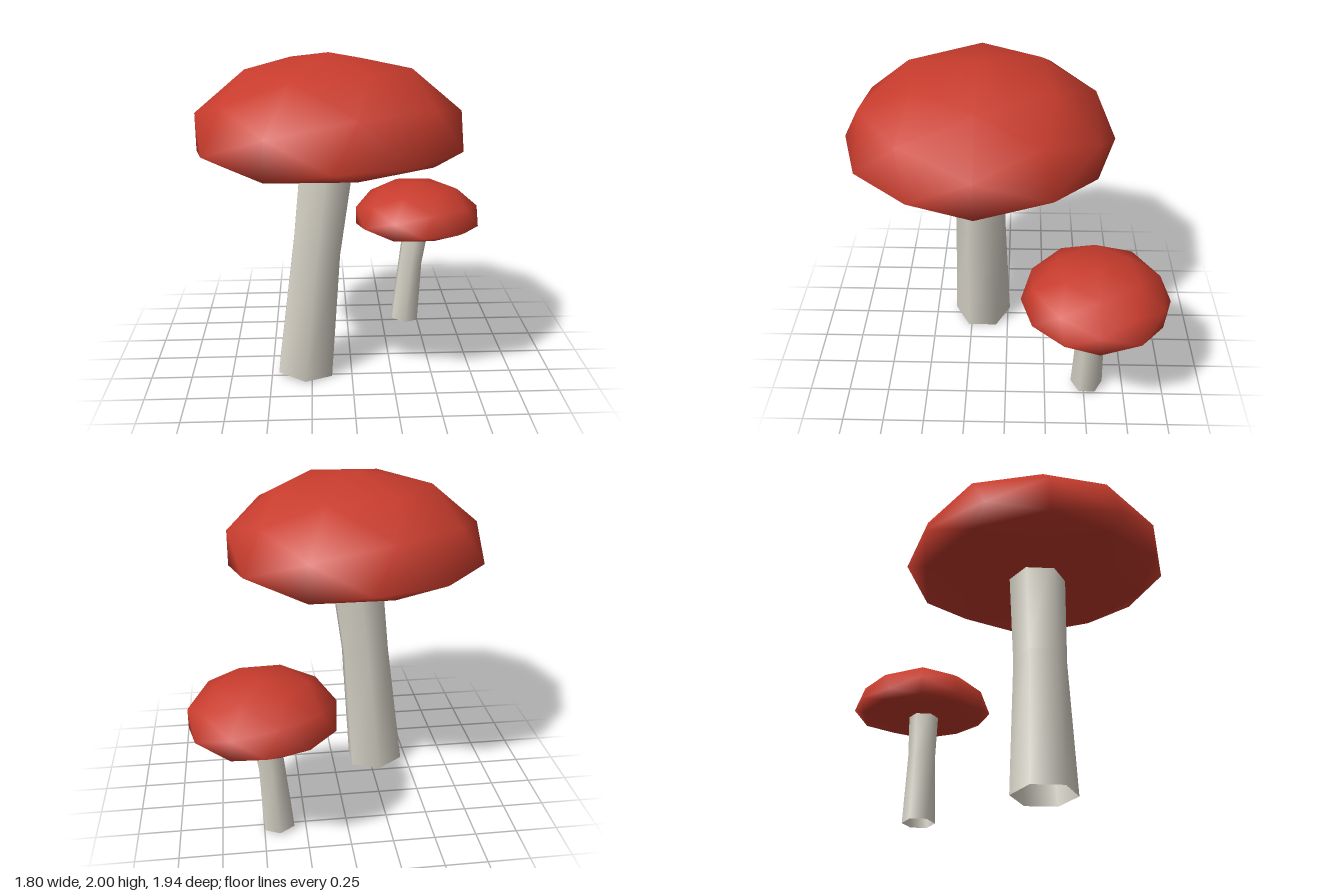
import * as THREE from 'three';
import { mergeVertices } from 'three/addons/utils/BufferGeometryUtils.js';

// Weld shared corners so the shading is smooth
function smooth(geometry) {
  geometry.deleteAttribute('uv');
  geometry.deleteAttribute('normal');
  const welded = mergeVertices(geometry, 1e-4);
  welded.computeVertexNormals();
  return welded;
}

// Cap: low-poly sphere with its pole along z, underside pressed flat, then squashed
function makeCap([x, y, z], radius, height) {
  const geo = new THREE.IcosahedronGeometry(1, 1);
  geo.rotateX(-Math.atan(2 / (1 + Math.sqrt(5))));
  geo.rotateZ(-Math.PI / 2);
  const p = geo.attributes.position;
  for (let i = 0; i < p.count; i++) p.setY(i, Math.max(p.getY(i), -0.14));
  geo.scale(radius, height, radius);
  const cap = new THREE.Mesh(smooth(geo), new THREE.MeshStandardMaterial({ color: 0xc83c2d }));
  cap.name = 'cap';
  cap.position.set(x, y, z);
  return cap;
}

// Stem: open six-sided tube through leaning rings [x, y, radius, tilt], top to bottom
function makeStem(rings, z) {
  const sides = 6;
  const geo = new THREE.CylinderGeometry(1, 1, 1, sides, rings.length - 1, true);
  const p = geo.attributes.position;
  for (let i = 0; i < p.count; i++) {
    const [cx, cy, r, tilt] = rings[Math.floor(i / (sides + 1))];
    const dx = p.getX(i) * r;
    p.setXYZ(i, cx + dx, cy - dx * tilt, z + p.getZ(i) * r);
  }
  const stem = new THREE.Mesh(
    smooth(geo),
    new THREE.MeshStandardMaterial({ color: 0xd6d2c6, side: THREE.DoubleSide })
  );
  stem.name = 'stem';
  return stem;
}

function makeMushroom(name, cap, stem) {
  const group = new THREE.Group();
  group.name = name;
  group.add(cap, stem);
  return group;
}

export function createModel() {
  const model = new THREE.Group();
  model.name = 'mushrooms';
  model.add(
    makeMushroom(
      'largeMushroom',
      makeCap([-0.13, 1.51, 0.165], 0.807, 0.49),
      makeStem([[-0.125, 1.55, 0.178, 0.12], [-0.21, 0.84, 0.16, 0.2], [-0.29, 0.02, 0.19, 0.1]], 0.175)
    ),
    makeMushroom(
      'smallMushroom',
      makeCap([0.48, 0.77, -0.53], 0.44, 0.26),
      makeStem([[0.49, 0.79, 0.095, 0.12], [0.445, 0.46, 0.085, 0.18], [0.41, 0.022, 0.101, 0.09]], -0.52)
    )
  );
  return model;
}
